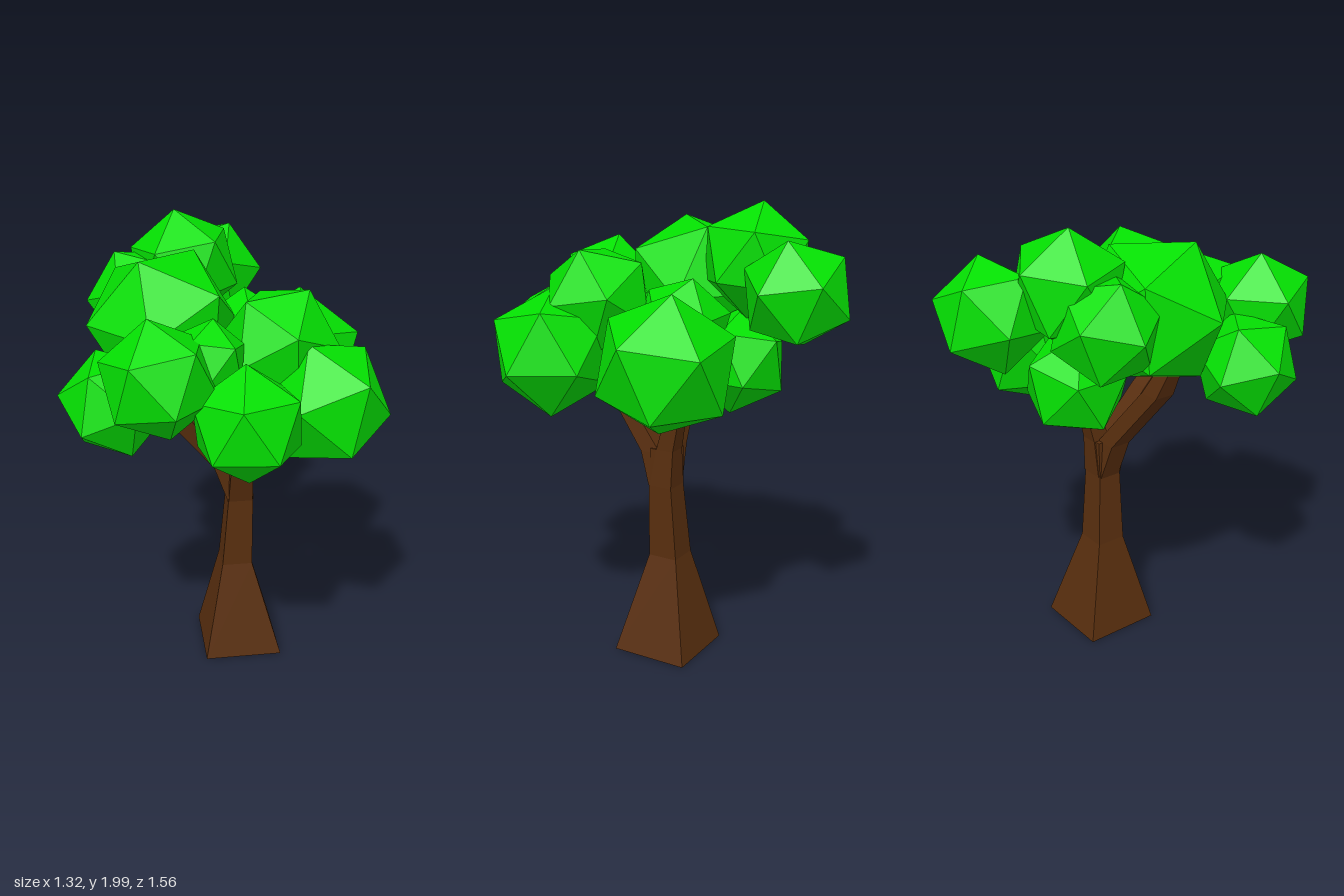
import * as THREE from 'three';

const bark = new THREE.MeshStandardMaterial({ color: 0x582e0e, flatShading: true });
const leaf = new THREE.MeshStandardMaterial({ color: 0x04e002, flatShading: true });

// Four-sided limb lofted through level squares [x, y, z, corner radius]
function limb(name, sections) {
  const pos = [], idx = [];
  for (const [x, y, z, r] of sections) {
    for (let k = 0; k < 4; k++) {
      const a = 0.656 + k * Math.PI / 2;
      pos.push(x + r * Math.cos(a), y, z + r * Math.sin(a));
    }
  }
  for (let s = 0; s < sections.length - 1; s++) {
    for (let k = 0; k < 4; k++) {
      const a = s * 4 + k, b = s * 4 + (k + 1) % 4;
      idx.push(b, a, a + 4, b, a + 4, b + 4);
    }
  }
  const t = (sections.length - 1) * 4;
  idx.push(0, 1, 2, 0, 2, 3, t + 3, t + 2, t + 1, t + 3, t + 1, t);
  const g = new THREE.BufferGeometry();
  g.setAttribute('position', new THREE.Float32BufferAttribute(pos, 3));
  g.setIndex(idx);
  g.computeVertexNormals();
  const m = new THREE.Mesh(g, bark);
  m.name = name;
  return m;
}

// Icosahedron with one corner pointing along v1 and a neighbouring corner towards v2
function clump(name, [x, y, z], r, v1, v2) {
  const g = new THREE.IcosahedronGeometry(r, 0);
  const basis = (a, b) => {
    const u = a.clone().normalize();
    const w = new THREE.Vector3().crossVectors(b, u).normalize();
    return new THREE.Matrix4().makeBasis(new THREE.Vector3().crossVectors(u, w), u, w);
  };
  const p = (1 + Math.sqrt(5)) / 2;
  const from = basis(new THREE.Vector3(0, 1, p), new THREE.Vector3(0, -1, p));
  const to = basis(new THREE.Vector3(...v1), new THREE.Vector3(...v2));
  g.applyMatrix4(to.multiply(from.transpose()));
  const m = new THREE.Mesh(g, leaf);
  m.name = name;
  m.position.set(x, y, z);
  return m;
}

export function createModel() {
  const tree = new THREE.Group();
  tree.name = 'tree';

  // Flared trunk and its three branches
  tree.add(
    limb('trunk', [[0.062, 0.008, -0.032, 0.246], [0.045, 0.45, -0.03, 0.096],
      [0.06, 0.78, -0.02, 0.078], [0.06, 0.95, -0.025, 0.075]]),
    limb('backBranch', [[0.065, 0.78, -0.025, 0.075], [0.07, 0.95, -0.045, 0.058],
      [0.08, 1.16, -0.1, 0.045], [0.09, 1.4, -0.15, 0.035]]),
    limb('sideBranch', [[0.055, 0.77, -0.02, 0.07], [-0.008, 0.95, 0, 0.068],
      [-0.235, 1.25, 0.08, 0.066], [-0.3, 1.4, 0.11, 0.045]]),
    limb('frontBranch', [[0.06, 0.78, -0.015, 0.076], [0.065, 0.93, 0.03, 0.07],
      [0.07, 1.16, 0.21, 0.062], [0.08, 1.33, 0.37, 0.045]]),
  );

  // Foliage: name, centre, radius, and two corner directions
  const crown = new THREE.Group();
  crown.name = 'crown';
  const clumps = [
    ['backTopClump', [-0.18, 1.76, -0.305], 0.245, [-0.04, 0.24, -0.01], [-0.05, 0.09, -0.2]],
    ['backClump', [-0.07, 1.66, -0.575], 0.235, [0.225, 0.02, 0.03], [0, 0.22, -0.02]],
    ['backLowClump', [-0.14, 1.335, -0.25], 0.23, [0.05, -0.22, 0], [-0.1, 0, -0.2]],
    ['backRightSideClump', [-0.37, 1.635, -0.235], 0.23, [-0.22, 0, 0.03], [-0.1, 0.2, 0]],
    ['backLeftSideClump', [0.295, 1.38, -0.2], 0.305, [0.27, 0.11, 0.01], [0, 0.3, -0.06]],
    ['innerBackClump', [0.08, 1.5, -0.12], 0.21, [0, 0.18, -0.05], [0.18, 0.05, 0.02]],
    ['innerFrontClump', [-0.08, 1.46, 0.2], 0.2, [0, 0.2, 0.03], [0.18, 0.05, 0.08]],
    ['centreClump', [0.21, 1.59, 0.22], 0.25, [0.11, 0.21, 0], [0.15, 0, -0.2]],
    ['largeTopClump', [-0.255, 1.622, 0.05], 0.325, [-0.085, 0.285, 0.125], [0.284, 0.08, 0.14]],
    ['leftSideClump', [0.387, 1.385, 0.33], 0.275, [0.245, -0.05, 0], [0.15, 0.2, -0.1]],
    ['frontHighClump', [-0.25, 1.57, 0.56], 0.235, [0.07, -0.07, 0.21], [-0.1, 0.12, 0.175]],
    ['rightSideClump', [-0.44, 1.4, 0.37], 0.222, [-0.2, 0.03, 0], [-0.04, 0.16, 0.14]],
    ['frontLowClump', [0.08, 1.4, 0.58], 0.235, [-0.02, 0.13, 0.2], [0.13, -0.1, 0.2]],
    ['smallClump', [-0.07, 1.6, 0.43], 0.16, [0.02, 0.15, -0.03], [0.1, 0.05, 0.1]],
  ];
  for (const c of clumps) crown.add(clump(...c));
  tree.add(crown);
  return tree;
}
